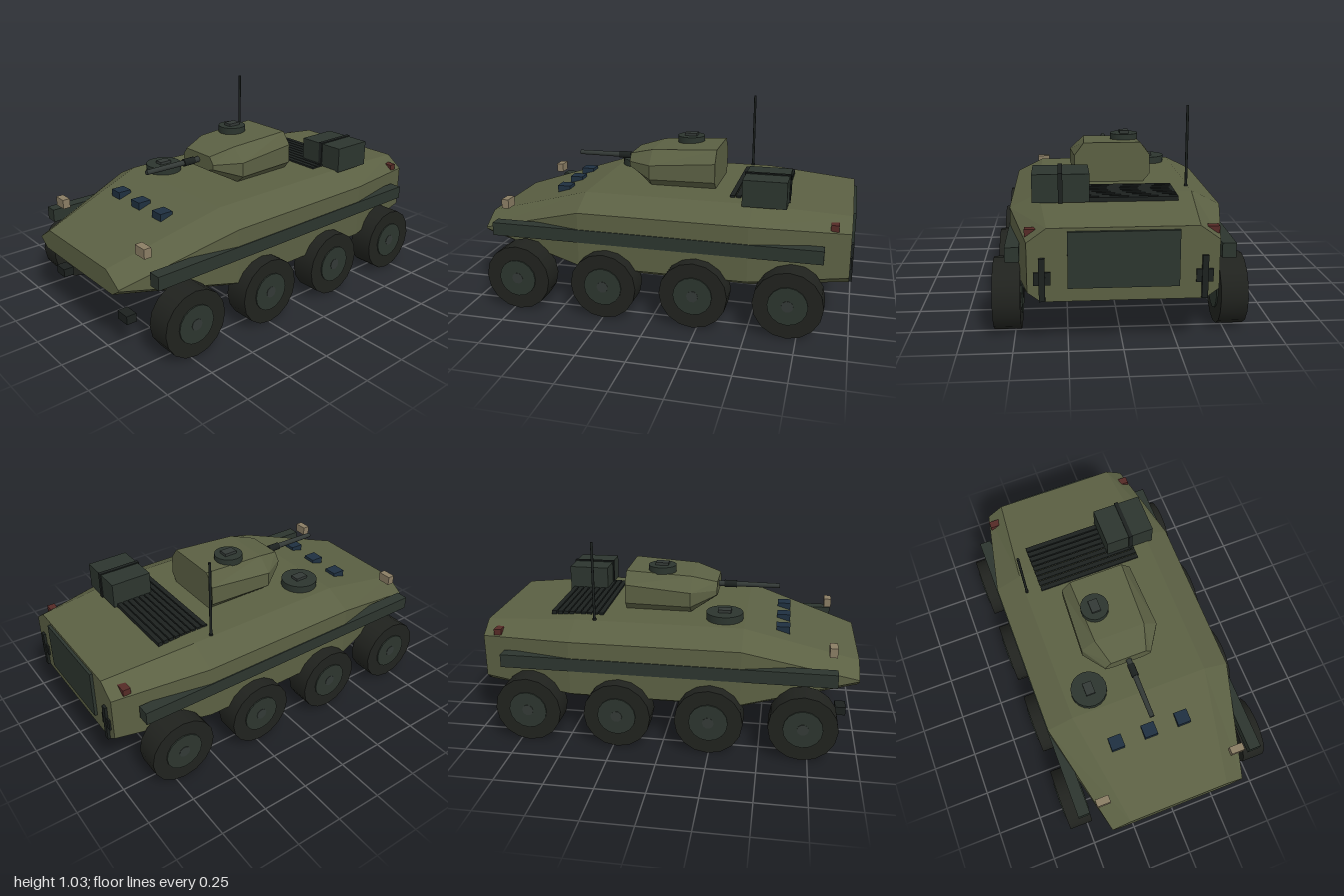
import * as THREE from 'three';

const mat = (color, flatShading = false) => new THREE.MeshStandardMaterial({ color, flatShading });
const armour = mat(0x5b6043, true);
const gear = mat(0x2c352e);
const dark = mat(0x1c211f);
const rubber = mat(0x20221e);
const metal = mat(0x333936);
const glass = mat(0x1f3040);
const lamp = mat(0x8a7d64);
const red = mat(0x552a26);

export function createModel() {
  const model = new THREE.Group();

  const add = (name, geometry, material, x = 0, y = 0, z = 0, parent = model) => {
    const mesh = new THREE.Mesh(geometry, material);
    mesh.name = name;
    mesh.position.set(x, y, z);
    parent.add(mesh);
    return mesh;
  };
  // box given by its extents
  const box = (name, material, [x0, x1], [y0, y1], [z0, z1]) =>
    add(name, new THREE.BoxGeometry(x1 - x0, y1 - y0, z1 - z0), material,
      (x0 + x1) / 2, (y0 + y1) / 2, (z0 + z1) / 2);
  // the same box on both sides
  const boxPair = (name, material, [x0, x1], y, z) => {
    box(name + 'Left', material, [x0, x1], y, z);
    box(name + 'Right', material, [-x1, -x0], y, z);
  };

  // faceted shell through mirrored half-profiles, ordered front to back, bottom to top
  const loft = (sections) => {
    const rings = sections.map(({ z, half }) => [
      ...half.map(([x, y]) => [x, y, z]),
      ...half.slice().reverse().map(([x, y]) => [-x, y, z]),
    ]);
    const n = rings[0].length;
    const out = [];
    const tri = (a, b, c) => out.push(...a, ...b, ...c);
    for (let s = 0; s < rings.length - 1; s++) {
      const a = rings[s], b = rings[s + 1];
      for (let i = 0; i < n; i++) {
        const j = (i + 1) % n;
        tri(a[i], b[i], b[j]);
        tri(a[i], b[j], a[j]);
      }
    }
    const front = rings[0], back = rings[rings.length - 1];
    for (let i = 1; i < n - 1; i++) {
      tri(front[0], front[i], front[i + 1]);
      tri(back[0], back[i + 1], back[i]);
    }
    const g = new THREE.BufferGeometry();
    g.setAttribute('position', new THREE.Float32BufferAttribute(out, 3));
    g.computeVertexNormals();
    return g;
  };

  // hull
  const middle = [[0.45, 0.205], [0.53, 0.25], [0.53, 0.54], [0.385, 0.612]];
  add('hull', loft([
    { z: 1, half: [[0.325, 0.315], [0.385, 0.355], [0.385, 0.362], [0.28, 0.43]] },
    { z: 0.4, half: middle },
    { z: -0.49, half: middle },
    { z: -0.985, half: [[0.37, 0.235], [0.43, 0.28], [0.43, 0.51], [0.34, 0.575]] },
  ]), armour);
  boxPair('fender', gear, [0.469, 0.535], [0.38, 0.45], [-0.86, 0.88]);

  // wheels
  const disc = (r, w, n) => new THREE.CylinderGeometry(r, r, w, n).rotateZ(Math.PI / 2);
  const tyreGeo = disc(0.175, 0.13, 16);
  const hubGeo = disc(0.1, 0.143, 16);
  const capGeo = disc(0.03, 0.147, 10);
  [0.72, 0.246, -0.228, -0.702].forEach((z, i) => {
    for (const side of [1, -1]) {
      const wheel = new THREE.Group();
      wheel.name = `wheel${side > 0 ? 'Left' : 'Right'}${i + 1}`;
      wheel.position.set(side * 0.534, 0.175, z);
      add('tyre', tyreGeo, rubber, 0, 0, 0, wheel);
      add('hub', hubGeo, gear, 0, 0, 0, wheel);
      add('hubCap', capGeo, metal, 0, 0, 0, wheel);
      model.add(wheel);
    }
  });

  // turret
  add('turret', loft([
    { z: 0.235, half: [[0.085, 0.685], [0.13, 0.7], [0.13, 0.725], [0.1, 0.765]] },
    { z: 0.1, half: [[0.17, 0.612], [0.217, 0.652], [0.217, 0.73], [0.14, 0.802]] },
    { z: -0.258, half: [[0.165, 0.612], [0.2, 0.652], [0.2, 0.755], [0.15, 0.822]] },
  ]), armour);

  // gun
  const rod = (r0, r1, len) => new THREE.CylinderGeometry(r0, r1, len, 12).rotateX(Math.PI / 2);
  add('gunBarrel', rod(0.013, 0.016, 0.37), metal, 0, 0.727, 0.385);
  add('gunCollar', rod(0.02, 0.02, 0.07), dark, 0, 0.727, 0.3);

  // hatches with a raised handle block
  const hatch = (name, r, x, y, z, h) => {
    add(name, new THREE.CylinderGeometry(r, r, h, 20), gear, x, y + h / 2, z);
    add(name + 'Block', new THREE.BoxGeometry(0.05, 0.03, 0.07), metal, x, y + h, z);
  };
  hatch('turretHatch', 0.076, -0.077, 0.808, -0.07, 0.037);
  hatch('driverHatch', 0.098, -0.25, 0.61, 0.29, 0.041);

  // vision blocks on the sloping nose
  for (const x of [-0.21, -0.02, 0.172])
    box('visionBlock', glass, [x - 0.037, x + 0.037], [0.54, 0.58], [0.563, 0.635]);

  // engine grille
  for (let i = 0; i < 9; i++) {
    const z = -0.63 + i * 0.0325;
    box('grilleSlat', dark, [-0.295, 0.295], [0.585, 0.622], [z - 0.013, z + 0.013]);
  }

  // stowage box and strap
  box('stowageBox', gear, [0.137, 0.413], [0.605, 0.743], [-0.662, -0.437]);
  box('stowageStrap', dark, [0.266, 0.288], [0.603, 0.749], [-0.668, -0.431]);

  // antenna
  add('antennaBase', new THREE.CylinderGeometry(0.01, 0.01, 0.012, 10), dark, -0.375, 0.615, -0.385);
  add('antenna', new THREE.CylinderGeometry(0.007, 0.007, 0.42, 8), dark, -0.375, 0.822, -0.385);

  // lamps and tow hooks
  boxPair('headlight', lamp, [0.348, 0.423], [0.495, 0.545], [0.837, 0.877]);
  boxPair('tailLight', red, [0.37, 0.44], [0.52, 0.553], [-0.922, -0.882]);
  boxPair('towHook', dark, [0.27, 0.35], [0.14, 0.185], [0.89, 0.945]);

  // rear door and brackets
  box('rearDoor', gear, [-0.25, 0.25], [0.3, 0.56], [-1, -0.98]);
  boxPair('rearBracketBar', dark, [0.35, 0.378], [0.24, 0.44], [-0.999, -0.98]);
  boxPair('rearBracketPlate', dark, [0.325, 0.402], [0.315, 0.375], [-0.993, -0.98]);

  return model;
}
